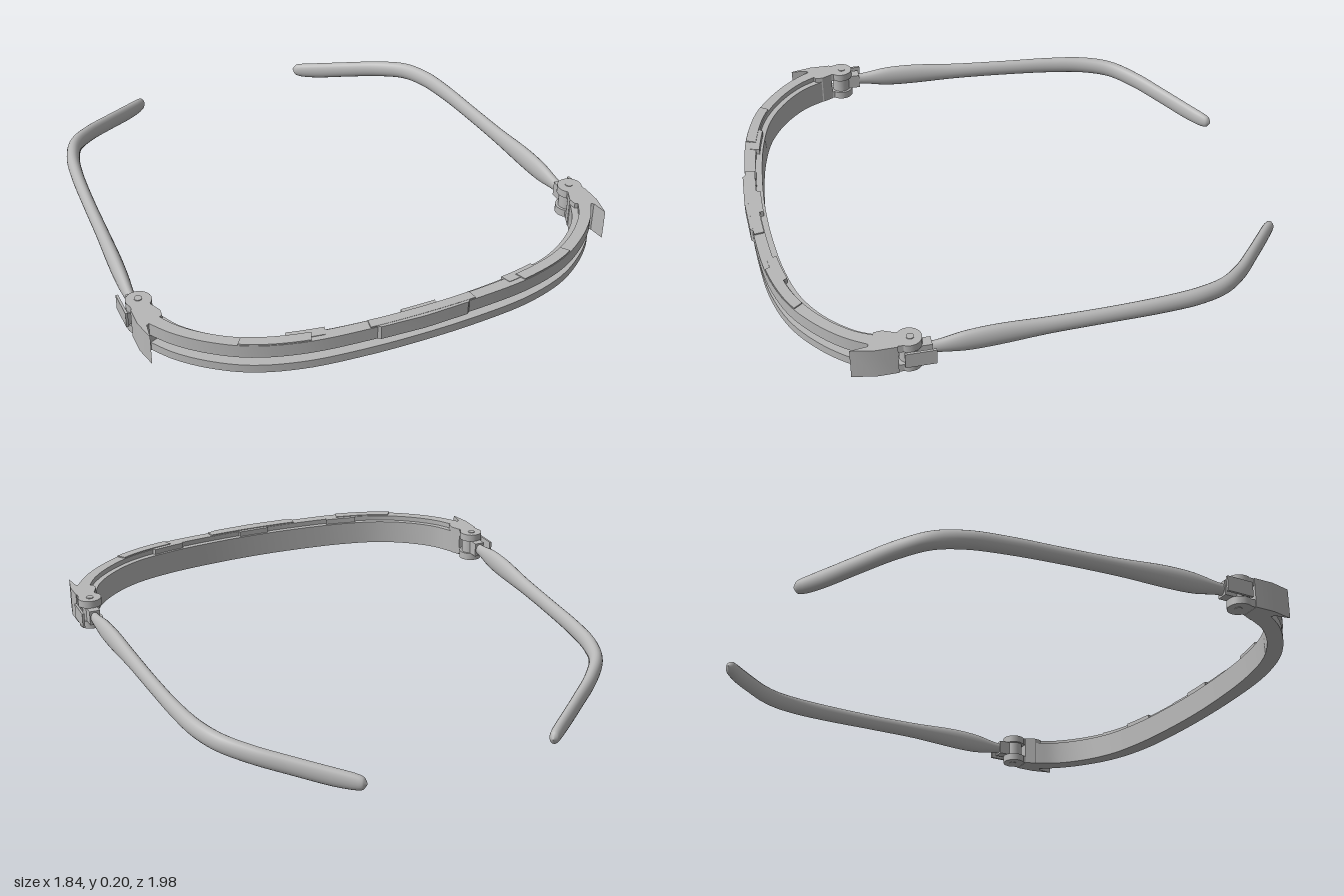
import * as THREE from 'three';
import { toCreasedNormals } from 'three/addons/utils/BufferGeometryUtils.js';

const grey = new THREE.MeshStandardMaterial({ color: 0xb8b8b8 });
grey.name = 'plain grey';

function add(parent, name, geometry) {
  const mesh = new THREE.Mesh(geometry, grey);
  mesh.name = name;
  parent.add(mesh);
  return mesh;
}

// Extrude a plan outline of [x, z] points between two heights
function slab(points, y0, y1) {
  const shape = new THREE.Shape(points.map(([x, z]) => new THREE.Vector2(x, -z)));
  const g = new THREE.ExtrudeGeometry(shape, { depth: y1 - y0, bevelEnabled: false });
  g.rotateX(-Math.PI / 2).translate(0, y0, 0);
  return toCreasedNormals(g, 0.5);
}

// Plan curve mirrored about x = 0
function mirroredCurve(half) {
  const left = half.slice(1).reverse().map(([x, z]) => new THREE.Vector3(-x, 0, z));
  return new THREE.CatmullRomCurve3([...left, ...half.map(([x, z]) => new THREE.Vector3(x, 0, z))]);
}
const inner = mirroredCurve([[0, 0.92], [0.2, 0.912], [0.4, 0.888], [0.56, 0.845], [0.68, 0.775], [0.77, 0.685], [0.815, 0.6]]);
const outer = mirroredCurve([[0, 0.983], [0.21, 0.977], [0.43, 0.953], [0.6, 0.9], [0.72, 0.825], [0.815, 0.735], [0.88, 0.64]]);

function uAtX(x) {
  let a = 0, b = 1;
  for (let i = 0; i < 30; i++) {
    const m = (a + b) / 2;
    if (inner.getPoint(m).x < x) a = m; else b = m;
  }
  return (a + b) / 2;
}

// A strip of the brow band: t runs from 0 at the inner edge to 1 at the outer edge
function strip(x0, x1, t0, t1, y0, y1) {
  const u0 = uAtX(x0), u1 = uAtX(x1), n = Math.max(6, Math.ceil((u1 - u0) * 64));
  const edge = (t) => Array.from({ length: n + 1 }, (_, i) => {
    const u = u0 + (u1 - u0) * i / n;
    const p = inner.getPoint(u).lerp(outer.getPoint(u), t);
    return [p.x, p.z];
  });
  return slab([...edge(t0), ...edge(t1).reverse()], y0, y1);
}

// Temple stations: x, z, mid height, half width, half height
const stations = [
  [0.865, 0.47, 0.14, 0.016, 0.024], [0.865, 0.42, 0.14, 0.018, 0.025],
  [0.86, 0.32, 0.14, 0.024, 0.041], [0.853, 0.2, 0.14, 0.026, 0.043],
  [0.842, 0.02, 0.136, 0.024, 0.034], [0.83, -0.2, 0.13, 0.023, 0.032],
  [0.815, -0.4, 0.125, 0.024, 0.034], [0.793, -0.54, 0.12, 0.026, 0.035],
  [0.75, -0.65, 0.111, 0.026, 0.035], [0.668, -0.742, 0.092, 0.024, 0.035],
  [0.558, -0.83, 0.068, 0.022, 0.035], [0.45, -0.912, 0.045, 0.021, 0.035],
  [0.39, -0.958, 0.036, 0.02, 0.031], [0.367, -0.978, 0.034, 0.016, 0.023],
  [0.357, -0.988, 0.034, 0.001, 0.001],
];

// Loft elliptical sections along the stations
function templeGeometry(side) {
  const path = new THREE.CatmullRomCurve3(stations.map(([x, z, y]) => new THREE.Vector3(x, y, z)));
  const size = new THREE.CatmullRomCurve3(stations.map((s) => new THREE.Vector3(s[3], s[4], 0)), false, 'catmullrom');
  const rings = 84, sides = 20, pos = [], idx = [];
  for (let i = 0; i <= rings; i++) {
    const p = path.getPoint(i / rings), d = path.getTangent(i / rings), s = size.getPoint(i / rings);
    const len = Math.hypot(d.x, d.z), nx = -d.z / len, nz = d.x / len;
    for (let j = 0; j < sides; j++) {
      const a = j / sides * Math.PI * 2, w = Math.cos(a) * s.x;
      pos.push(side * (p.x + nx * w), p.y + Math.sin(a) * s.y, p.z + nz * w);
    }
  }
  const tri = (a, b, c) => (side > 0 ? idx.push(a, c, b) : idx.push(a, b, c));
  for (let i = 0; i < rings; i++) {
    for (let j = 0; j < sides; j++) {
      const k = (j + 1) % sides, a = i * sides + j, b = i * sides + k;
      tri(a, b, a + sides);
      tri(b, b + sides, a + sides);
    }
  }
  const g = new THREE.BufferGeometry();
  g.setAttribute('position', new THREE.Float32BufferAttribute(pos, 3));
  g.setIndex(idx);
  g.computeVertexNormals();
  return g;
}

function box(parent, name, w, h, d, x, y, z) {
  add(parent, name, new THREE.BoxGeometry(w, h, d)).position.set(x, y, z);
}
function disc(parent, name, r, h, x, y, z) {
  add(parent, name, new THREE.CylinderGeometry(r, r, h, 28)).position.set(x, y, z);
}

export function createModel() {
  const model = new THREE.Group();
  model.name = 'eyewearFrame';

  // Brow band with a lens groove open to the front and a lower inner ledge
  const band = new THREE.Group();
  band.name = 'browBand';
  model.add(band);
  const end = 0.814;
  add(band, 'innerWall', strip(-end, end, 0, 0.35, 0.08, 0.178));
  add(band, 'upperRail', strip(-end, end, 0.35, 1, 0.148, 0.198));
  add(band, 'lowerRail', strip(-end, end, 0.35, 0.95, 0.08, 0.112));

  // Clip blocks on the ledge, with small catches in the groove
  for (const x of [-0.4, 0, 0.4]) {
    add(band, 'clipBlock', strip(x - 0.065, x + 0.065, 0.15, 0.7, 0.17, 0.2));
    add(band, 'grooveCatch', strip(x - 0.04, x + 0.04, 0.35, 0.9, 0.142, 0.149));
  }
  // Raised pads on the top
  for (const [a, b] of [[-0.6, -0.38], [-0.19, 0.19], [0.38, 0.6]]) {
    add(band, 'topPad', strip(a, b, 0.4, 0.97, 0.197, 0.203));
  }
  // Centre plate with sloped ends
  add(band, 'centrePlate', slab([[-0.19, 0.965], [-0.165, 0.988], [0, 0.995], [0.165, 0.988], [0.19, 0.965]], 0.149, 0.202));

  for (const side of [1, -1]) {
    const sideName = side > 0 ? 'left' : 'right';
    const hinge = new THREE.Group();
    hinge.name = sideName + 'Hinge';
    model.add(hinge);

    // End block with a forward-pointing fin
    const outline = [[0.812, 0.6], [0.83, 0.56], [0.905, 0.56], [0.906, 0.64], [0.889, 0.722], [0.88, 0.66],
      [0.855, 0.645], [0.815, 0.63]];
    add(hinge, 'endBlock', slab(outline.map(([x, z]) => [side * x, z]), 0.08, 0.198));

    // Upper and lower lugs, knuckle and pin
    for (const y of [0.096, 0.183]) {
      disc(hinge, 'hingeLug', 0.046, 0.03, side * 0.862, y, 0.517);
      box(hinge, 'lugBridge', 0.07, 0.03, 0.05, side * 0.866, y, 0.545);
    }
    disc(hinge, 'knuckle', 0.036, 0.058, side * 0.862, 0.14, 0.517);
    disc(hinge, 'hingePin', 0.014, 0.122, side * 0.862, 0.14, 0.512);

    // Temple root and outer stop plate
    box(hinge, 'templeRoot', 0.042, 0.058, 0.07, side * 0.865, 0.14, 0.475);
    box(hinge, 'stopPlate', 0.009, 0.06, 0.11, side * 0.914, 0.14, 0.485);
    box(hinge, 'stopBridge', 0.04, 0.05, 0.03, side * 0.895, 0.14, 0.52);

    add(model, sideName + 'Temple', templeGeometry(side));
  }
  return model;
}
